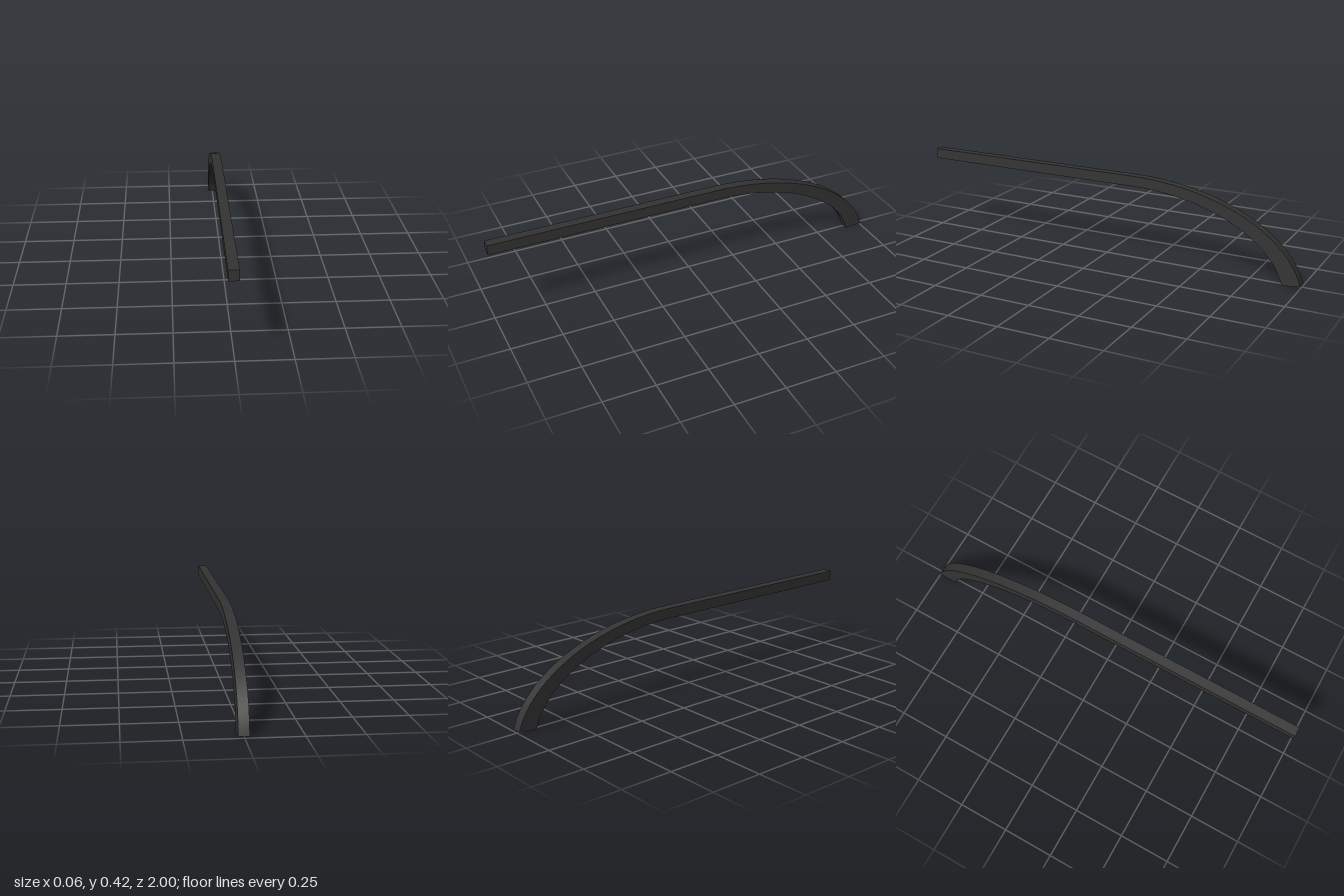
import * as THREE from 'three';
import { toCreasedNormals } from 'three/addons/utils/BufferGeometryUtils.js';

export function createModel() {
  const group = new THREE.Group();
  const material = new THREE.MeshStandardMaterial({ color: 0x333333 });

  // Side profile: straight bar, then a circular bend stretched lengthwise
  const top = 0.417, thick = 0.05, width = 0.047;
  const radius = 0.487, stretch = 1.78, sweep = 1.41, segments = 24;
  const bendStart = 1 - radius * stretch * Math.sin(sweep);
  const arc = (r) => Array.from({ length: segments + 1 }, (_, i) => {
    const a = (sweep * i) / segments;
    return new THREE.Vector2(bendStart + stretch * r * Math.sin(a), top - radius + r * Math.cos(a));
  });
  const shape = new THREE.Shape([
    new THREE.Vector2(-1, top - thick),
    ...arc(radius - thick),
    ...arc(radius).reverse(),
    new THREE.Vector2(-1, top),
  ]);

  // Extrude across the width and turn the profile to run along z
  let geometry = new THREE.ExtrudeGeometry(shape, { depth: width, bevelEnabled: false });
  geometry.translate(0, 0, -width / 2);
  geometry.rotateY(Math.PI / 2);
  geometry = toCreasedNormals(geometry, 0.5);

  const bar = new THREE.Mesh(geometry, material);
  bar.name = 'curvedBar';
  // Slight sideways lean
  bar.rotation.z = 0.022;
  bar.position.x = 0.0036;
  group.add(bar);
  return group;
}
